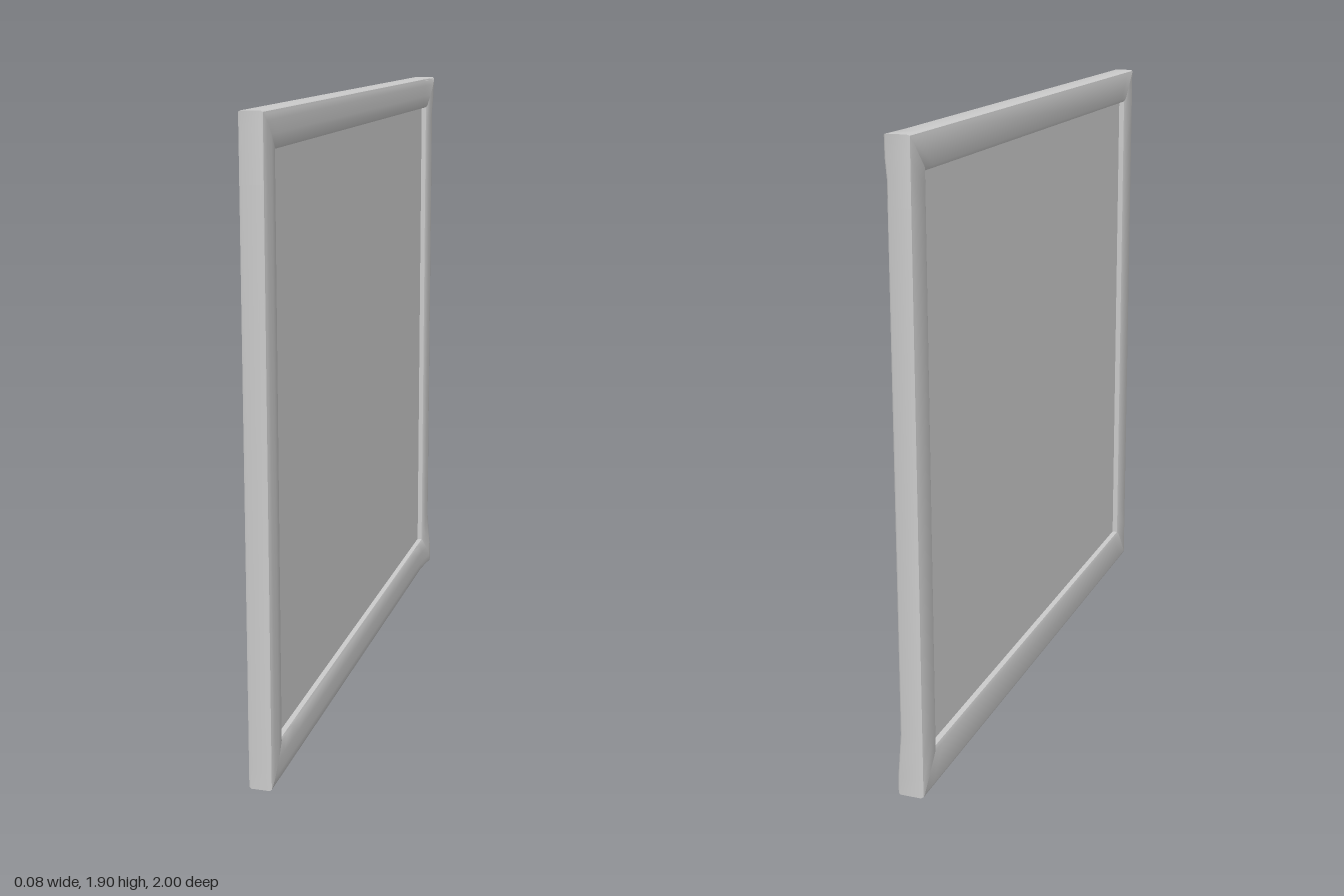
import * as THREE from 'three';
import { toCreasedNormals } from 'three/addons/utils/BufferGeometryUtils.js';

const grey = new THREE.MeshStandardMaterial({ color: 0xcccccc });

// Corners as [z, y]: outer edge of the frame and edge of the opening
const outer = [[-1, 0], [1, 0], [1, 1.9], [-1, 1.9]];
const inner = [[-0.9, 0.12], [0.905, 0.12], [0.905, 1.795], [-0.9, 1.795]];

// Bar section as [inset from outer edge 0..1, x], closed loop
const section = [
  [0, 0.02], [0, -0.035], [0.03, -0.042], [0.09, -0.044], [0.9, -0.044], [1, -0.04],
  [1, 0.024], [0.94, 0.028], [0.6, 0.03], [0.25, 0.029], [0.09, 0.027], [0.03, 0.025],
];

const mix = THREE.MathUtils.lerp;

// Slight swelling of the +x face near the corners of the rear upright
function swell(z, y, x) {
  if (x <= 0) return x;
  const side = 1 - THREE.MathUtils.smoothstep(z, -0.99, -0.9);
  const low = 1 - THREE.MathUtils.smoothstep(y, 0.06, 0.18);
  const high = THREE.MathUtils.smoothstep(y, 1.77, 1.86);
  return x + side * (0.011 * low + 0.006 * high);
}

// One mitred bar running from corner k to the next corner
function bar(k) {
  const n = (k + 1) % 4;
  const steps = [0, 0.03, 0.06, 0.1, 0.9, 0.94, 0.97, 1];
  const pos = [], index = [];
  for (const u of steps) {
    for (const [t, x] of section) {
      const [z, y] = [0, 1].map((a) =>
        mix(mix(outer[k][a], inner[k][a], t), mix(outer[n][a], inner[n][a], t), u));
      pos.push(swell(z, y, x), y, z);
    }
  }
  const m = section.length;
  for (let i = 0; i < steps.length - 1; i++) {
    for (let j = 0; j < m; j++) {
      const a = i * m + j, c = i * m + (j + 1) % m;
      index.push(a, a + m, c, a + m, c + m, c);
    }
  }
  const g = new THREE.BufferGeometry();
  g.setAttribute('position', new THREE.Float32BufferAttribute(pos, 3));
  g.setIndex(index);
  return toCreasedNormals(g, 0.7);
}

export function createModel() {
  const model = new THREE.Group();
  model.name = 'framedPanel';

  // Mitred surround
  ['bottomRail', 'frontStile', 'topRail', 'rearStile'].forEach((name, k) => {
    const mesh = new THREE.Mesh(bar(k), grey);
    mesh.name = name;
    model.add(mesh);
  });

  // Recessed panel, tucked slightly into the surround
  const panel = new THREE.Mesh(new THREE.BoxGeometry(0.03, 1.695, 1.825), grey);
  panel.name = 'panel';
  panel.position.set(-0.007, 0.9575, 0.0025);
  model.add(panel);

  return model;
}
